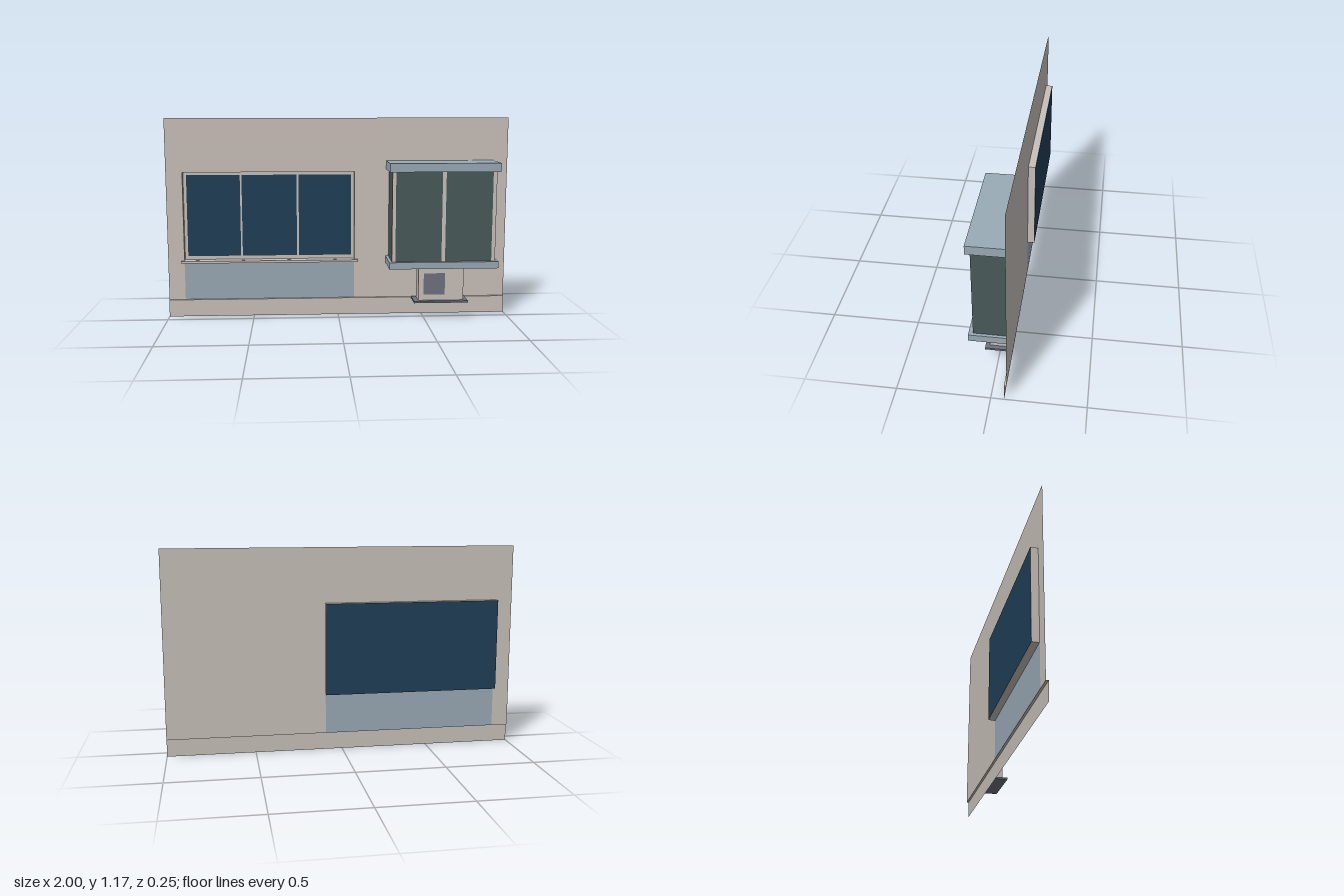
import * as THREE from 'three';

const mat = (name, color, side = THREE.DoubleSide) => {
  const m = new THREE.MeshStandardMaterial({ color, side });
  m.name = name;
  return m;
};

export function createModel() {
  const root = new THREE.Group();
  root.name = 'shopfrontWall';

  const plaster = mat('plaster', 0xc9c1bb);
  const paleBlue = mat('paleBlue', 0x9aabb6);
  const blueGlass = mat('blueGlass', 0x213f58);
  const greenGlass = mat('greenGlass', 0x4a5a5a);
  const slate = mat('slate', 0x6f737f);

  const WALL = -0.083, PLINTH = -0.07, BACK = -0.123;

  const add = (name, geo, material, parent = root) => {
    const m = new THREE.Mesh(geo, material);
    m.name = name;
    parent.add(m);
    return m;
  };
  // Box given by its limits on each axis
  const box = (name, material, [x0, x1], [y0, y1], [z0, z1], parent) => {
    const g = new THREE.BoxGeometry(x1 - x0, y1 - y0, z1 - z0);
    g.translate((x0 + x1) / 2, (y0 + y1) / 2, (z0 + z1) / 2);
    return add(name, g, material, parent);
  };
  // Upright sheet facing the front
  const sheet = (name, material, [x0, x1], [y0, y1], z, parent) => {
    const g = new THREE.PlaneGeometry(x1 - x0, y1 - y0);
    g.translate((x0 + x1) / 2, (y0 + y1) / 2, z);
    return add(name, g, material, parent);
  };
  // Level sheet
  const ledge = (name, material, [x0, x1], y, [z0, z1], parent) => {
    const g = new THREE.PlaneGeometry(x1 - x0, z1 - z0);
    g.rotateX(-Math.PI / 2);
    g.translate((x0 + x1) / 2, y, (z0 + z1) / 2);
    return add(name, g, material, parent);
  };

  // Wall, notched for the window and the panel below it
  const wx = [-0.905, 0.097], wy = [0.333, 0.855];
  const outline = [
    [-1, 0.1], [wx[0], 0.1], [wx[0], wy[1]], [wx[1], wy[1]],
    [wx[1], 0.1], [1, 0.1], [1, 1.168], [-1, 1.168],
  ].map(([x, y]) => new THREE.Vector2(x, y));
  const wallGeo = new THREE.ShapeGeometry(new THREE.Shape(outline));
  wallGeo.translate(0, 0, WALL);
  add('wall', wallGeo, plaster);
  sheet('panelBelowWindow', paleBlue, wx, [0.1, wy[0]], WALL);

  // Plinth
  sheet('plinth', plaster, [-1, 1], [0, 0.1], PLINTH);
  ledge('plinthLedge', plaster, [-1, 1], 0.1, [WALL, PLINTH]);

  // Recessed window
  const win = new THREE.Group();
  win.name = 'window';
  root.add(win);
  for (const y of wy) ledge('windowReveal', plaster, wx, y, [BACK, WALL], win);
  for (const x of wx) {
    const g = new THREE.PlaneGeometry(WALL - BACK, wy[1] - wy[0]);
    g.rotateY(Math.PI / 2);
    g.translate(x, (wy[0] + wy[1]) / 2, (BACK + WALL) / 2);
    add('windowJamb', g, plaster, win);
  }
  sheet('windowBackGlass', blueGlass, wx, wy, BACK, win);
  sheet('windowFrame', plaster, wx, wy, BACK + 0.003, win);
  for (const px of [[-0.887, -0.575], [-0.565, -0.243], [-0.231, 0.079]]) {
    sheet('windowPane', blueGlass, px, [0.354, 0.836], BACK + 0.006, win);
  }
  box('windowSill', plaster, [-0.922, 0.118], [0.32, 0.333], [WALL + 0.001, -0.063], win);

  // Projecting display case
  const bay = new THREE.Group();
  bay.name = 'displayCase';
  root.add(bay);
  const bz = WALL + 0.002;
  box('caseBody', [greenGlass, greenGlass, plaster, plaster, plaster, plaster],
    [0.3, 0.898], [0.35, 0.872], [bz, 0.1], bay);
  for (const px of [[0.32, 0.586], [0.607, 0.876]]) {
    sheet('casePane', greenGlass, px, [0.352, 0.87], 0.102, bay);
  }
  box('caseBase', paleBlue, [0.283, 0.915], [0.313, 0.352], [bz, 0.123], bay);
  box('caseRoof', paleBlue, [0.283, 0.915], [0.87, 0.919], [bz, 0.123], bay);

  // Pedestal under the case
  const ped = new THREE.Group();
  ped.name = 'pedestal';
  root.add(ped);
  box('pedestalBlock', plaster, [0.465, 0.73], [0.108, 0.302], [-0.045, 0.043], ped);
  sheet('pedestalPlate', slate, [0.495, 0.62], [0.142, 0.27], 0.046, ped);
  box('pedestalFoot', slate, [0.437, 0.755], [0.097, 0.108], [-0.062, 0.067], ped);

  return root;
}
